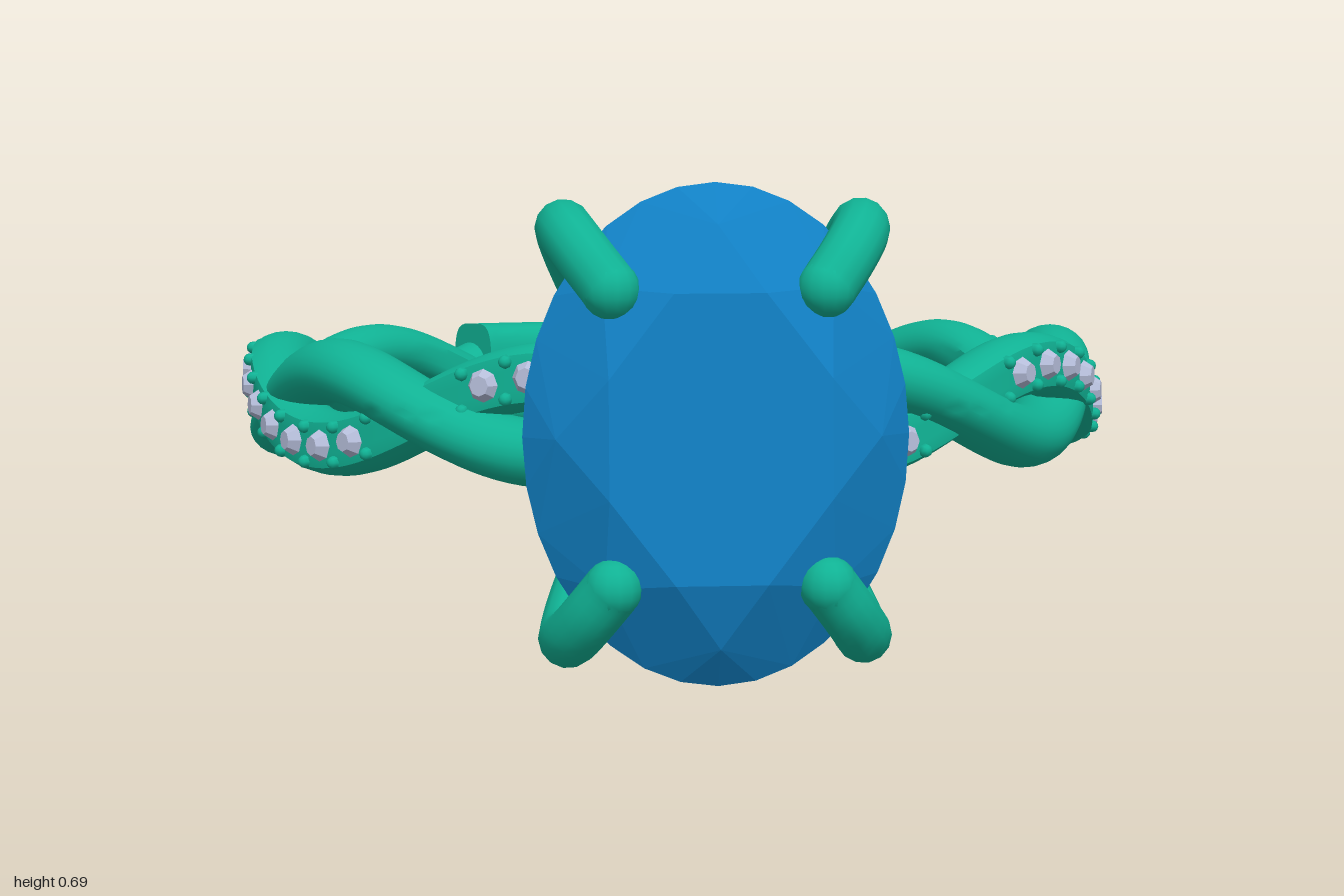
import * as THREE from 'three';
import { toCreasedNormals } from 'three/addons/utils/BufferGeometryUtils.js';
import { ConvexGeometry } from 'three/addons/geometries/ConvexGeometry.js';

const metal = new THREE.MeshStandardMaterial({ color: 0x10b294 });
const blue = new THREE.MeshStandardMaterial({ color: 0x1180c4 });
const pale = new THREE.MeshStandardMaterial({ color: 0xb4bcd8 });
const RAD = Math.PI / 180;
const INNER = 0.645;

function add(parent, name, geometry, material) {
  const mesh = new THREE.Mesh(geometry, material);
  mesh.name = name;
  parent.add(mesh);
  return mesh;
}

// Point at an angle (degrees from the front), radius and height on the band
const onBand = (deg, r, y) =>
  new THREE.Vector3(r * Math.sin(deg * RAD), y, r * Math.cos(deg * RAD));

// Sweep a cross-section section(deg, t) -> [radius, height] around the finger
function sweep(section, from, to, steps, sides) {
  const pos = [], idx = [];
  for (let i = 0; i <= steps; i++) {
    const deg = from + ((to - from) * i) / steps;
    for (let j = 0; j < sides; j++) {
      const [r, y] = section(deg, (j / sides) * Math.PI * 2);
      pos.push(...onBand(deg, r, y).toArray());
    }
  }
  for (let i = 0; i < steps; i++)
    for (let j = 0; j < sides; j++) {
      const k = (j + 1) % sides;
      const a = i * sides + j, b = a + sides, c = (i + 1) * sides + k, d = i * sides + k;
      idx.push(a, b, c, a, c, d);
    }
  // End caps
  const last = steps * sides;
  for (let j = 1; j < sides - 1; j++) {
    idx.push(0, j, j + 1, last, last + j + 1, last + j);
  }
  const geo = new THREE.BufferGeometry();
  geo.setAttribute('position', new THREE.Float32BufferAttribute(pos, 3));
  geo.setIndex(idx);
  return toCreasedNormals(geo, 0.65);
}

// Centre line of a twisted strand; sign +1 is the plain one, -1 the jewelled one
const strandY = (deg, sign) => sign * 0.061 * Math.sin(5 * deg * RAD);
const strandR = (deg, sign) => 0.712 - sign * 0.012 * Math.cos(5 * deg * RAD);

function strandSection(sign, outerLimit) {
  return (deg, t) => [
    Math.max(INNER, strandR(deg, sign) + Math.min(outerLimit, 0.064 * Math.cos(t))),
    strandY(deg, sign) + 0.053 * Math.sin(t),
  ];
}

// Oval-cut stone from rings of points
function ovalStone() {
  const pts = [];
  const ring = (n, scale, z, shift = 0) => {
    for (let i = 0; i < n; i++) {
      const a = ((i + shift) / n) * Math.PI * 2;
      pts.push(new THREE.Vector3(0.265 * scale * Math.cos(a), 0.345 * scale * Math.sin(a), z));
    }
  };
  ring(8, 0.61, 1.2, 0.5);   // table
  ring(8, 0.83, 1.162);      // crown
  ring(32, 1, 1.11);         // girdle
  ring(32, 1, 1.09);
  ring(8, 0.52, 0.965);      // pavilion
  ring(1, 0, 0.85);          // culet
  return new ConvexGeometry(pts);
}

export function createModel() {
  const model = new THREE.Group();
  model.name = 'ring';
  const tilted = new THREE.Group();
  tilted.name = 'tiltedRing';
  tilted.position.set(0, 0.21, -0.215);
  tilted.rotation.x = -0.125;
  model.add(tilted);

  // Band: two twisted strands and a plain back section
  const band = new THREE.Group();
  band.name = 'band';
  tilted.add(band);
  add(band, 'plainStrand', sweep(strandSection(1, 1), -151, 151, 180, 24), metal);
  add(band, 'jewelledStrand', sweep(strandSection(-1, 0.047), -153, 153, 180, 24), metal);
  const soft = (v) => Math.sign(v) * Math.sqrt(Math.abs(v));
  const backSection = (deg, t) => [0.711 + 0.074 * soft(Math.cos(t)), 0.109 * soft(Math.sin(t))];
  add(band, 'backSection', sweep(backSection, 147, 213, 40, 32), metal);

  // Small stones with beads between them, along the jewelled strand
  const stoneGeo = new THREE.CylinderGeometry(0.016, 0.029, 0.02, 8);
  stoneGeo.rotateX(Math.PI / 2);
  const smallStone = toCreasedNormals(stoneGeo, 0.2);
  const beadGeo = new THREE.CapsuleGeometry(0.011, 0.022, 3, 8);
  beadGeo.rotateX(Math.PI / 2);
  const pave = new THREE.Group();
  pave.name = 'smallStones';
  tilted.add(pave);
  const place = (name, geo, mat, deg, lift, dy) => {
    const mesh = add(pave, name, geo, mat);
    mesh.position.copy(onBand(deg, strandR(deg, -1) + lift, strandY(deg, -1) + dy));
    mesh.rotation.y = deg * RAD;
  };
  for (const side of [-1, 1])
    for (const [from, to] of [[8, 26], [47, 95], [120, 150]]) {
      for (let d = from; d <= to; d += 6) place('smallStone', smallStone, pale, side * d, 0.053, 0);
      for (let d = from - 3; d <= to + 3; d += 6)
        for (const dy of [-0.029, 0.029]) place('bead', beadGeo, metal, side * d, 0.038, dy);
    }

  // Centre stone and its setting
  const setting = new THREE.Group();
  setting.name = 'setting';
  tilted.add(setting);
  add(setting, 'centreStone', ovalStone(), blue);

  // Oval gallery rail under the stone
  const profile = [[0.64, 0.955], [0.76, 0.955], [0.88, 1.03], [0.82, 1.045], [0.64, 0.975], [0.64, 0.955]]
    .map(([r, h]) => new THREE.Vector2(r, h));
  const rail = new THREE.LatheGeometry(profile, 64);
  rail.rotateX(Math.PI / 2);
  rail.scale(0.265, 0.345, 1);
  const railMesh = add(setting, 'galleryRail', toCreasedNormals(rail, 0.5), metal.clone());
  railMesh.material.side = THREE.DoubleSide;

  // Four claws rising from the band and hooking over the stone
  const claw = [[0, 0, 0.755], [0.07, 0.06, 0.81], [0.145, 0.15, 0.885], [0.19, 0.24, 0.97],
    [0.206, 0.283, 1.04], [0.2, 0.275, 1.1], [0.175, 0.24, 1.145], [0.145, 0.2, 1.17]];
  for (const sx of [-1, 1])
    for (const sy of [-1, 1]) {
      const path = new THREE.CatmullRomCurve3(
        claw.map(([x, y, z]) => new THREE.Vector3(sx * x, sy * y, z)));
      add(setting, 'claw', new THREE.TubeGeometry(path, 40, 0.04, 14), metal);
      for (const t of [0, 1]) {
        const tip = add(setting, 'clawEnd', new THREE.SphereGeometry(0.04, 14, 10), metal);
        tip.position.copy(path.getPoint(t));
      }
    }
  return model;
}
